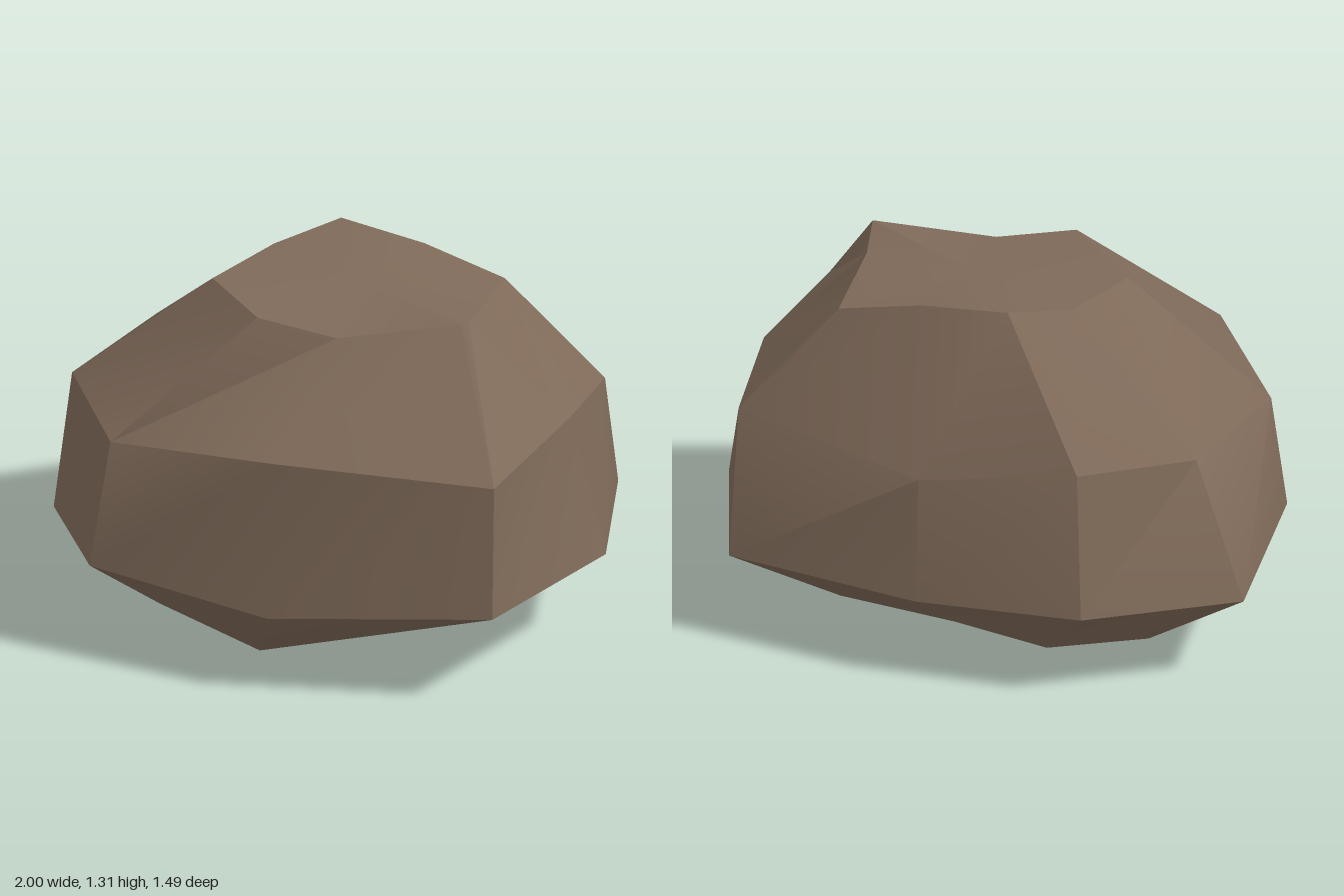
import * as THREE from 'three';
import { toCreasedNormals } from 'three/addons/utils/BufferGeometryUtils.js';

// Nine-cornered cross-sections [x, y, z], listed bottom to top, left-front-right-back
const rings = [
  // underside
  [[-0.60, 0.07, 0.12], [-0.48, 0.09, 0.41], [-0.09, 0.00, 0.44], [0.42, 0.11, 0.25], [0.54, 0.07, -0.02],
    [0.49, 0.085, -0.40], [0.06, 0.07, -0.43], [-0.29, 0.04, -0.46], [-0.62, 0.06, -0.32]],
  // widest belt
  [[-0.93, 0.33, 0.30], [-0.62, 0.37, 0.72], [0.06, 0.31, 0.74], [0.83, 0.36, 0.53], [1.00, 0.34, -0.10],
    [0.82, 0.32, -0.65], [0.10, 0.31, -0.75], [-0.50, 0.32, -0.72], [-1.00, 0.32, -0.41]],
  // shoulder
  [[-0.91, 0.81, 0.18], [-0.57, 0.84, 0.65], [0.07, 0.91, 0.70], [0.82, 0.86, 0.49], [0.88, 0.88, -0.07],
    [0.84, 0.82, -0.48], [0.10, 0.78, -0.72], [-0.45, 0.83, -0.61], [-0.80, 0.81, -0.33]],
  // crown
  [[-0.41, 1.25, 0.10], [-0.14, 1.27, 0.34], [0.14, 1.22, 0.29], [0.55, 1.29, 0.15], [0.53, 1.23, 0.02],
    [0.51, 1.21, -0.36], [0.20, 1.28, -0.37], [-0.12, 1.31, -0.38], [-0.30, 1.26, -0.20]],
];

const centre = (ring) => [0, 1, 2].map((k) => ring.reduce((sum, p) => sum + p[k], 0) / ring.length);

// Skins the rings and closes both ends with fans
function loft(sections) {
  const n = sections[0].length;
  const corners = [];
  const tri = (a, b, c) => corners.push(...a, ...b, ...c);
  const first = sections[0];
  const last = sections[sections.length - 1];
  const bottom = centre(first);
  const top = centre(last);
  for (let i = 0; i < n; i++) {
    const j = (i + 1) % n;
    for (let r = 0; r < sections.length - 1; r++) {
      const low = sections[r];
      const high = sections[r + 1];
      tri(low[i], low[j], high[j]);
      tri(low[i], high[j], high[i]);
    }
    tri(bottom, first[j], first[i]);
    tri(top, last[i], last[j]);
  }
  const geometry = new THREE.BufferGeometry();
  geometry.setAttribute('position', new THREE.Float32BufferAttribute(corners, 3));
  return toCreasedNormals(geometry, THREE.MathUtils.degToRad(28));
}

export function createModel() {
  const stone = new THREE.MeshStandardMaterial({ color: 0x7f6a59 });
  stone.name = 'brown stone';

  const boulder = new THREE.Mesh(loft(rings), stone);
  boulder.name = 'boulder';

  const group = new THREE.Group();
  group.name = 'rock';
  group.add(boulder);
  return group;
}
